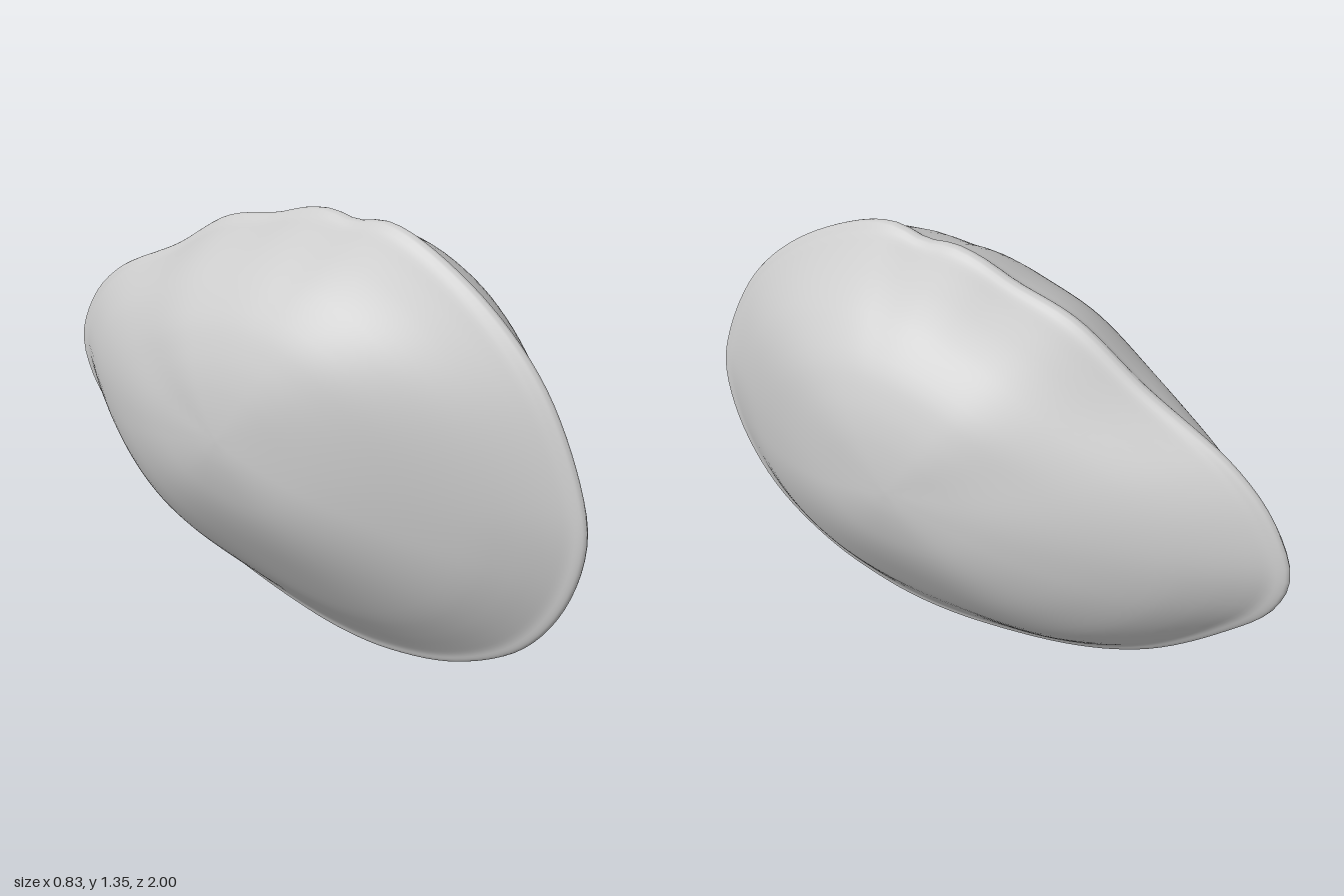
import * as THREE from 'three';

const RADIAL = 39;
const AROUND = 120;
const APEX = new THREE.Vector2(0.05, 0.76); // (z, y) of the fullest point

// Shell rim as (z, y), running front, hinge, back, belly
const rim = new THREE.CatmullRomCurve3([
  [1, 0.62], [0.97, 0.77], [0.84, 1.02], [0.65, 1.2], [0.4, 1.33], [0.29, 1.35],
  [0.19, 1.33], [0.1, 1.34], [0.01, 1.325], [-0.1, 1.285], [-0.3, 1.23], [-0.52, 1.09],
  [-0.8, 0.94], [-0.93, 0.81], [-0.997, 0.65], [-0.96, 0.52], [-0.83, 0.38], [-0.6, 0.2],
  [-0.35, 0.09], [0, 0.015], [0.2, 0], [0.37, 0.015], [0.6, 0.08], [0.82, 0.22], [0.95, 0.41],
].map(([z, y]) => new THREE.Vector3(0, y, z)), true, 'centripetal');

// Bulge from apex to rim: a slender section and a full section
const steps = [0, 0.09, 0.2, 0.32, 0.45, 0.6, 0.75, 0.85, 0.92, 0.96, 0.985, 0.996, 1];
const section = (widths) => new THREE.SplineCurve(widths.map((w, i) => new THREE.Vector2(steps[i], w)));
const slender = section([0.415, 0.41, 0.391, 0.358, 0.305, 0.23, 0.15, 0.089, 0.046, 0.024, 0.016, 0.009, 0]);
const full = section([0.415, 0.413, 0.407, 0.395, 0.372, 0.33, 0.255, 0.175, 0.095, 0.04, 0.02, 0.011, 0]);

// How full the shell is in a direction: most at the hinge, some at the lower corners
function fullness(direction) {
  const { x: z, y } = direction.clone().normalize();
  const bump = (bz, by) => Math.max(0, z * bz + y * by) ** 5;
  return THREE.MathUtils.smoothstep(y, -0.3, 0.85) + 0.55 * bump(-0.76, -0.65) + 0.15 * bump(0.8, -0.6);
}

// Rim directions from the apex, and a softened copy that shapes the inner body
const edge = rim.getSpacedPoints(AROUND).slice(0, AROUND)
  .map((p) => new THREE.Vector2(p.z, p.y).sub(APEX));
const soft = edge.map((_, a) => {
  const mean = new THREE.Vector2();
  for (let k = -10; k <= 10; k++) mean.addScaledVector(edge[(a + k + AROUND) % AROUND], (11 - Math.abs(k)) / 121);
  return mean.multiplyScalar(1.02);
});

function valveGeometry(side) {
  const positions = [side * 0.415, APEX.y, APEX.x];
  const index = [];

  for (let r = 1; r <= RADIAL; r++) {
    const low = slender.getPoint(r / RADIAL);
    const high = full.getPoint(r / RADIAL);
    for (let a = 0; a < AROUND; a++) {
      const out = soft[a].clone().lerp(edge[a], low.x ** 5).multiplyScalar(low.x).add(APEX);
      const width = THREE.MathUtils.lerp(low.y, high.y, fullness(soft[a]));
      positions.push(side * width, out.y, out.x);
    }
  }

  const face = (a, b, c) => index.push(...(side > 0 ? [a, c, b] : [a, b, c]));
  const id = (r, a) => 1 + (r - 1) * AROUND + (a % AROUND);
  for (let a = 0; a < AROUND; a++) {
    face(0, id(1, a), id(1, a + 1));
    for (let r = 1; r < RADIAL; r++) {
      face(id(r, a), id(r + 1, a), id(r + 1, a + 1));
      face(id(r, a), id(r + 1, a + 1), id(r, a + 1));
    }
  }

  const geometry = new THREE.BufferGeometry();
  geometry.setAttribute('position', new THREE.Float32BufferAttribute(positions, 3));
  geometry.setIndex(index);
  geometry.computeVertexNormals();
  return geometry;
}

export function createModel() {
  const group = new THREE.Group();
  group.name = 'clamShell';
  const shell = new THREE.MeshStandardMaterial({ color: 0xcccccc });
  shell.name = 'shell grey';

  // Two mirrored valves meeting at the rim
  for (const [name, side] of [['leftValve', 1], ['rightValve', -1]]) {
    const valve = new THREE.Mesh(valveGeometry(side), shell);
    valve.name = name;
    group.add(valve);
  }
  return group;
}
